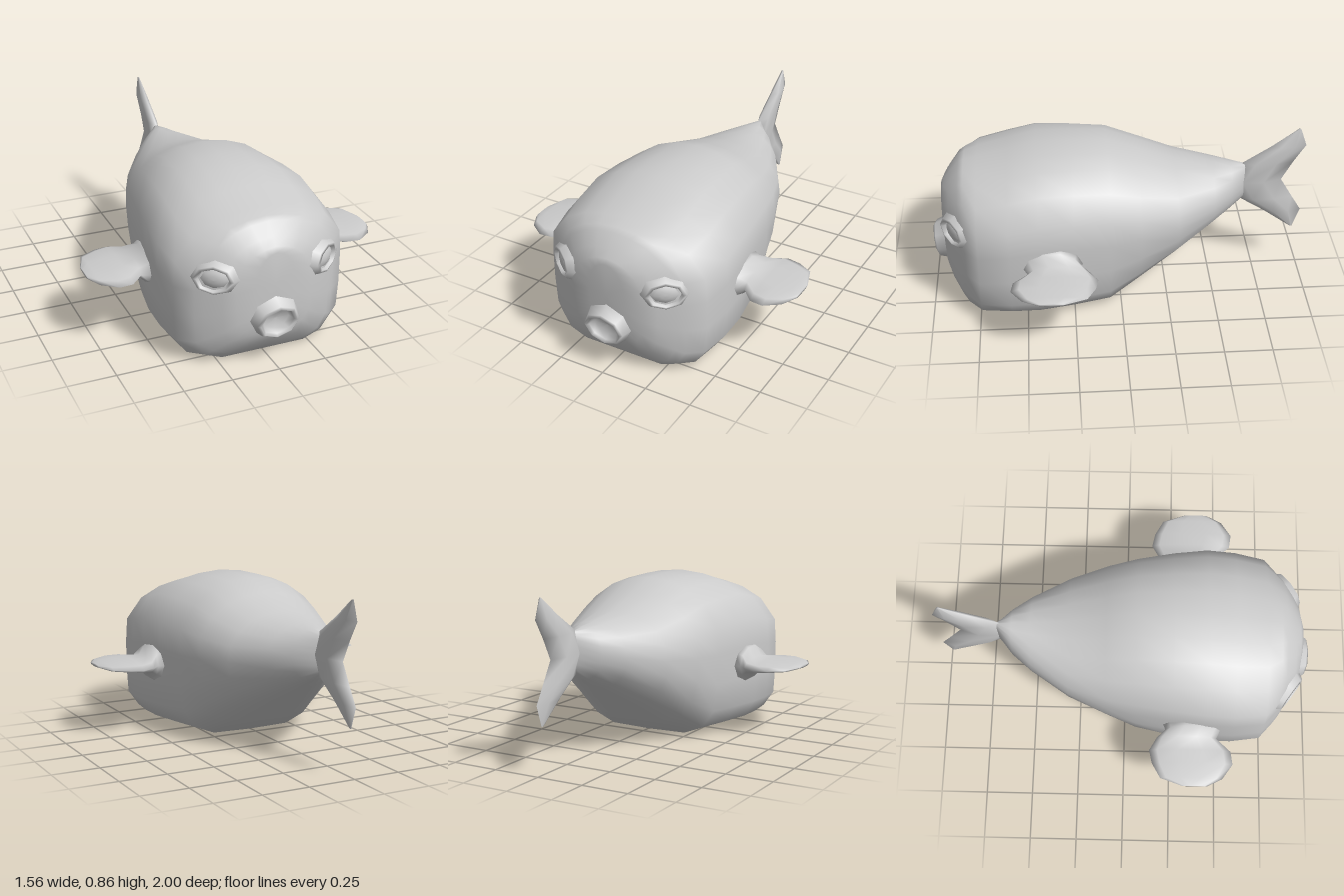
import * as THREE from 'three';

const material = new THREE.MeshStandardMaterial({ color: 0xcccccc, side: THREE.DoubleSide });

function addMesh(parent, name, geometry) {
  const mesh = new THREE.Mesh(geometry, material);
  mesh.name = name;
  parent.add(mesh);
  return mesh;
}

// Smooth skin over a list of closed rings of [x, y, z], capped at both ends
function loft(rings) {
  const n = rings[0].length;
  const points = rings.flat();
  const last = (rings.length - 1) * n;
  const average = (ring) => [0, 1, 2].map((k) => ring.reduce((s, p) => s + p[k], 0) / n);
  points.push(average(rings[0]), average(rings[rings.length - 1]));
  const index = [];
  for (let j = 0; j < n; j++) {
    const k = (j + 1) % n;
    for (let a = 0; a < last; a += n) {
      index.push(a + j, a + k, a + n + k, a + j, a + n + k, a + n + j);
    }
    index.push(last + n, k, j, last + n + 1, last + j, last + k);
  }
  // Turn the faces outward when the signed volume is negative
  const v = points.map((p) => new THREE.Vector3(...p));
  const cross = new THREE.Vector3();
  let volume = 0;
  for (let i = 0; i < index.length; i += 3) {
    volume += v[index[i]].dot(cross.crossVectors(v[index[i + 1]], v[index[i + 2]]));
  }
  if (volume < 0) index.reverse();
  const geometry = new THREE.BufferGeometry().setFromPoints(v);
  geometry.setIndex(index);
  geometry.computeVertexNormals();
  return geometry;
}

// Half outline of the belly section: share of half width, share of height
const outline = [
  [0, 0], [0.6, 0], [0.85, 0.05], [0.98, 0.16], [1, 0.35], [1, 0.55],
  [0.98, 0.72], [0.78, 0.87], [0.52, 0.95], [0.28, 0.985], [0, 1],
];

// Body sections: z, bottom, top, half width, roundness
const bodySections = [
  [-0.68, 0.45, 0.66, 0.02, 1],
  [-0.6, 0.4, 0.67, 0.12, 1],
  [-0.5, 0.34, 0.68, 0.2, 0.9],
  [-0.3, 0.22, 0.71, 0.32, 0.7],
  [-0.1, 0.1, 0.78, 0.39, 0.45],
  [0.06, 0, 0.84, 0.425, 0.25],
  [0.25, 0, 0.845, 0.455, 0.1],
  [0.43, 0, 0.84, 0.475, 0],
  [0.58, 0, 0.8, 0.475, 0],
  [0.74, 0, 0.762, 0.45, 0],
  [0.81, 0.01, 0.745, 0.37, 0],
  [0.84, 0.045, 0.73, 0.335, 0],
  [0.89, 0.11, 0.67, 0.26, 0.1],
  [0.92, 0.17, 0.63, 0.2, 0.3],
  [0.935, 0.25, 0.605, 0.1, 0.5],
];

function bodyRing([z, bottom, top, width, round]) {
  const half = outline.map(([u, v], i) => {
    const angle = (i / (outline.length - 1)) * Math.PI;
    const x = THREE.MathUtils.lerp(u, Math.sin(angle), round) * width;
    const y = THREE.MathUtils.lerp(v, (1 - Math.cos(angle)) / 2, round);
    return [x, bottom + y * (top - bottom), z];
  });
  const mirrored = half.slice(1, -1).reverse().map(([x, y, zz]) => [-x, y, zz]);
  return [...half, ...mirrored];
}

// Fin sections: x, rear z, front z, middle y, half thickness
const finSections = [
  [0.43, 0.2, 0.53, 0.37, 0.13],
  [0.475, 0.22, 0.51, 0.37, 0.09],
  [0.52, 0.175, 0.49, 0.37, 0.042],
  [0.59, 0.135, 0.565, 0.372, 0.033],
  [0.66, 0.15, 0.575, 0.374, 0.026],
  [0.74, 0.195, 0.52, 0.376, 0.018],
  [0.78, 0.31, 0.44, 0.377, 0.008],
];

function finRing([x, rear, front, y, thick], side) {
  return Array.from({ length: 10 }, (_, i) => {
    const a = (i / 10) * Math.PI * 2;
    return [
      side * x,
      y + Math.sin(a) * thick,
      (rear + front) / 2 + (Math.cos(a) * (front - rear)) / 2,
    ];
  });
}

// Tail sections: y, front z, rear z, half thickness
const tailSections = [
  [0.24, -0.95, -0.962, 0.004],
  [0.35, -0.8, -1, 0.022],
  [0.44, -0.66, -0.945, 0.028],
  [0.55, -0.6, -0.88, 0.03],
  [0.66, -0.66, -0.938, 0.028],
  [0.76, -0.815, -1, 0.022],
  [0.86, -0.95, -0.965, 0.004],
];

function tailRing([y, front, rear, thick]) {
  const across = [[0, 0], [1, 0.25], [1, 0.65], [0, 1], [-1, 0.65], [-1, 0.25]];
  return across.map(([u, v]) => [u * thick, y, front + v * (rear - front)]);
}

// Turned part whose axis points along +z
function turned(profile, sides) {
  return new THREE.LatheGeometry(profile.map(([r, h]) => new THREE.Vector2(r, h)), sides)
    .rotateX(Math.PI / 2);
}

export function createModel() {
  const fish = new THREE.Group();
  fish.name = 'fish';

  addMesh(fish, 'body', loft(bodySections.map(bodyRing)));
  addMesh(fish, 'tailFin', loft(tailSections.map(tailRing)));

  // Protruding lips around a hollow mouth, tipped slightly downward
  const mouth = addMesh(fish, 'mouth', turned(
    [[0.2, -0.14], [0.13, -0.06], [0.112, -0.01], [0.098, 0], [0.085, -0.015], [0.07, -0.045], [0, -0.05]], 8));
  mouth.position.set(0, 0.247, 0.985);
  mouth.rotation.x = 0.16;
  mouth.scale.y = 0.84;

  for (const side of [1, -1]) {
    const label = side > 0 ? 'left' : 'right';
    addMesh(fish, label + 'Fin', loft(finSections.map((s) => finRing(s, side))));

    // Eye socket rim with a shallow domed eyeball
    const eye = new THREE.Group();
    eye.name = label + 'Eye';
    addMesh(eye, 'socketRim', turned(
      [[0.105, -0.025], [0.085, 0.012], [0.07, 0.016], [0.062, -0.012]], 8));
    addMesh(eye, 'eyeball', turned(
      [[0.066, -0.012], [0.045, 0.004], [0.02, 0.01], [0, 0.011]], 8));
    eye.position.set(side * 0.295, 0.49, 0.868);
    eye.rotation.y = side * 0.62;
    eye.scale.set(1.2, 0.88, 1);
    fish.add(eye);
  }

  return fish;
}
